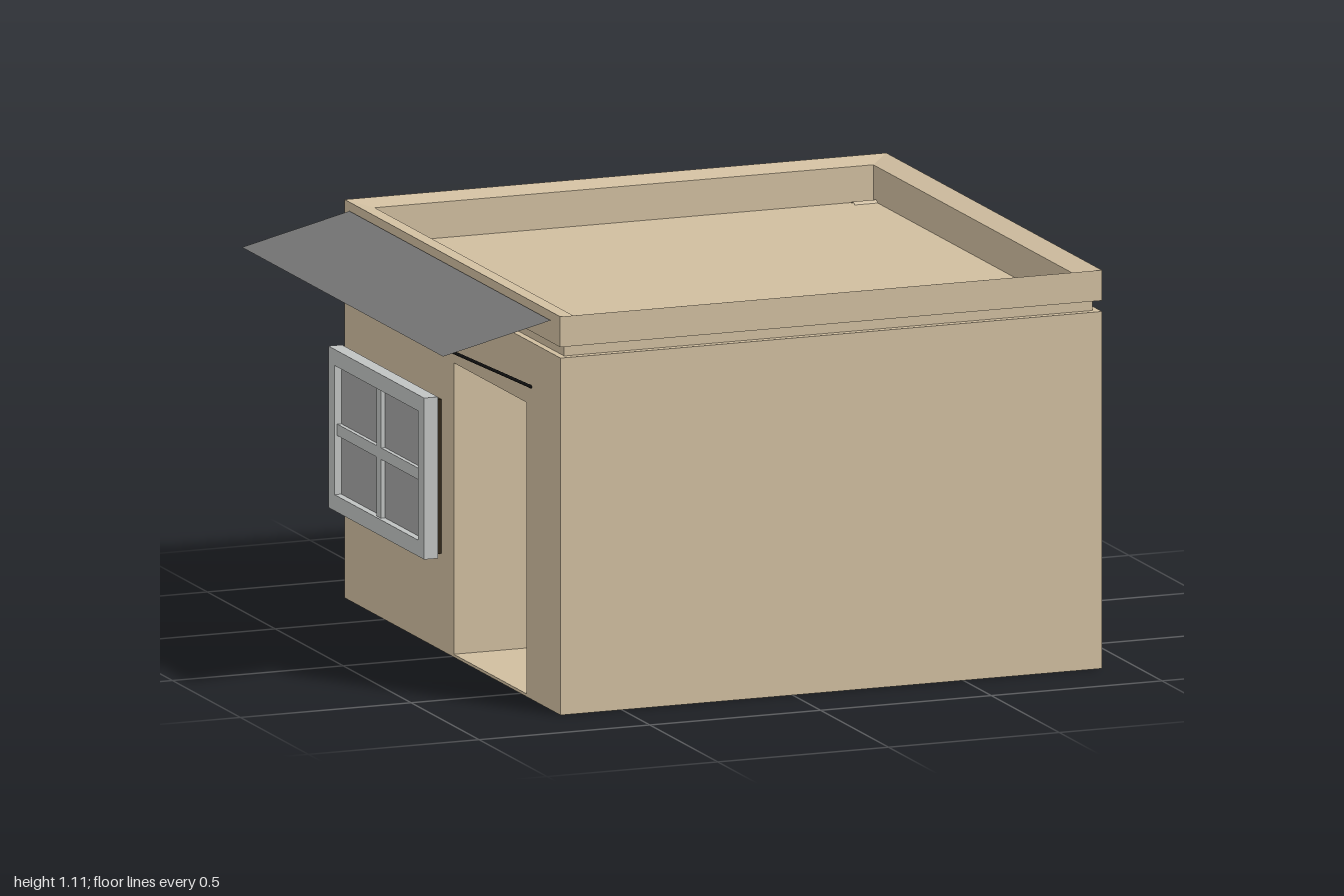
import * as THREE from 'three';

const paint = (name, color, side = THREE.FrontSide) => {
  const m = new THREE.MeshStandardMaterial({ color, side });
  m.name = name;
  return m;
};

export function createModel() {
  const clay = paint('clay', 0xcfbd9f);
  const clayOpen = paint('clayPipe', 0xcfbd9f, THREE.DoubleSide);
  const black = paint('black', 0x0a0a0a);
  const wood = paint('darkWood', 0x302718);
  const sheetGrey = paint('sheetGrey', 0x757575, THREE.DoubleSide);
  const frameGrey = paint('frameGrey', 0xc0c3c2);
  const paneGrey = paint('paneGrey', 0xa4a4a4);

  const group = new THREE.Group();
  const add = (name, geometry, material, x = 0, y = 0, z = 0) => {
    const mesh = new THREE.Mesh(geometry, material);
    mesh.name = name;
    mesh.position.set(x, y, z);
    group.add(mesh);
    return mesh;
  };
  // box given by its minimum and maximum corners
  const box = (name, material, x0, x1, y0, y1, z0, z1) =>
    add(name, new THREE.BoxGeometry(x1 - x0, y1 - y0, z1 - z0), material,
      (x0 + x1) / 2, (y0 + y1) / 2, (z0 + z1) / 2);
  const polygon = (pts) => pts.map(([x, y]) => new THREE.Vector2(x, y));

  const X0 = -0.68, X1 = 0.906, Z = 0.795, TOP = 0.995;
  const backIn = -0.665, doorIn = -0.46;

  // solid core with roof surface
  box('houseCore', clay, doorIn, X1, 0, TOP, backIn, Z);

  // back wall with barred window recess
  const win = { x0: -0.61, x1: 0.033, y0: 0.315, y1: 0.79 };
  const back = new THREE.Shape(polygon([[X0, 0], [X1, 0], [X1, TOP], [X0, TOP]]));
  back.holes.push(new THREE.Path(polygon([
    [win.x0, win.y0], [win.x0, win.y1], [win.x1, win.y1], [win.x1, win.y0]])));
  add('backWall', new THREE.ExtrudeGeometry(back, { depth: backIn + Z, bevelEnabled: false }), clay, 0, 0, -Z);
  box('windowDark', black, win.x0, win.x1, win.y0, win.y1, backIn - 0.005, backIn);
  for (const x of [-0.08, -0.265, -0.45]) {
    box('windowBar', wood, x - 0.018, x + 0.018, win.y0, win.y1, -0.783, -0.747);
  }

  // entrance wall with door notch, drawn along -z and turned
  const side = new THREE.Shape(polygon([
    [-Z, 0], [-0.545, 0], [-0.545, 0.82], [-0.01, 0.82], [-0.01, 0], [-backIn, 0], [-backIn, TOP], [-Z, TOP]]));
  const sideGeo = new THREE.ExtrudeGeometry(side, { depth: doorIn - X0, bevelEnabled: false });
  add('entranceWall', sideGeo.rotateY(Math.PI / 2), clay, X0);
  box('doorFloor', clay, X0, doorIn, 0, 0.008, 0.01, 0.545);
  box('doorDark', black, doorIn - 0.005, doorIn, 0.008, 0.82, 0.01, 0.545);

  // recessed neck and parapet, four-sided lathe with an inward sloping rim
  const profile = polygon([[0.774, TOP], [0.774, 1.025], [0.793, 1.025], [0.793, 1.11], [0.73, 1.095], [0.73, TOP]]
    .map(([r, y]) => [r * Math.SQRT2, y]));
  const rim = new THREE.LatheGeometry(profile, 4, Math.PI / 4).toNonIndexed();
  rim.computeVertexNormals();
  add('parapet', rim, clay, (X0 + X1) / 2);

  // grey glazed shutter beside the door
  const [wz0, wz1, wy0, wy1] = [-0.775, -0.07, 0.26, 0.71];
  box('shutterBacking', wood, -0.695, X0, wy0 + 0.01, wy1 - 0.01, wz0 + 0.01, wz1 - 0.01);
  box('shutterPane', paneGrey, -0.715, -0.695, wy0 + 0.01, wy1 - 0.01, wz0 + 0.01, wz1 - 0.01);
  const t = 0.045;
  for (const z of [wz0, wz1 - t]) box('shutterStile', frameGrey, -0.735, -0.695, wy0, wy1, z, z + t);
  for (const y of [wy0, wy1 - t]) box('shutterRail', frameGrey, -0.735, -0.695, y, y + t, wz0 + t, wz1 - t);
  const mz = (wz0 + wz1) / 2, my = (wy0 + wy1) / 2;
  box('shutterMullion', frameGrey, -0.728, -0.714, wy0 + t, wy1 - t, mz - 0.016, mz + 0.016);
  box('shutterCrossbar', frameGrey, -0.727, -0.714, my - 0.016, my + 0.016, wz0 + t, wz1 - t);

  // sloping awning sheet
  const inner = new THREE.Vector2(-0.685, 1.088), outer = new THREE.Vector2(-1, 1.013);
  const slope = inner.clone().sub(outer);
  const awning = add('awning', new THREE.PlaneGeometry(slope.length(), 1.48).rotateX(-Math.PI / 2), sheetGrey,
    (inner.x + outer.x) / 2, (inner.y + outer.y) / 2, -0.005);
  awning.rotation.z = slope.angle();

  // awning struts
  for (const z of [-0.59, 0.58]) {
    const path = new THREE.LineCurve3(new THREE.Vector3(-0.675, 0.868, z), new THREE.Vector3(-0.957, 1.01, z));
    add('awningStrut', new THREE.TubeGeometry(path, 1, 0.005, 6), black);
  }

  // roof drain spout
  const spout = new THREE.CylinderGeometry(0.016, 0.016, 0.225, 8, 1, true).rotateZ(Math.PI / 2);
  add('drainSpout', spout, clayOpen, 0.8875, 0.986, -0.71);

  return group;
}
